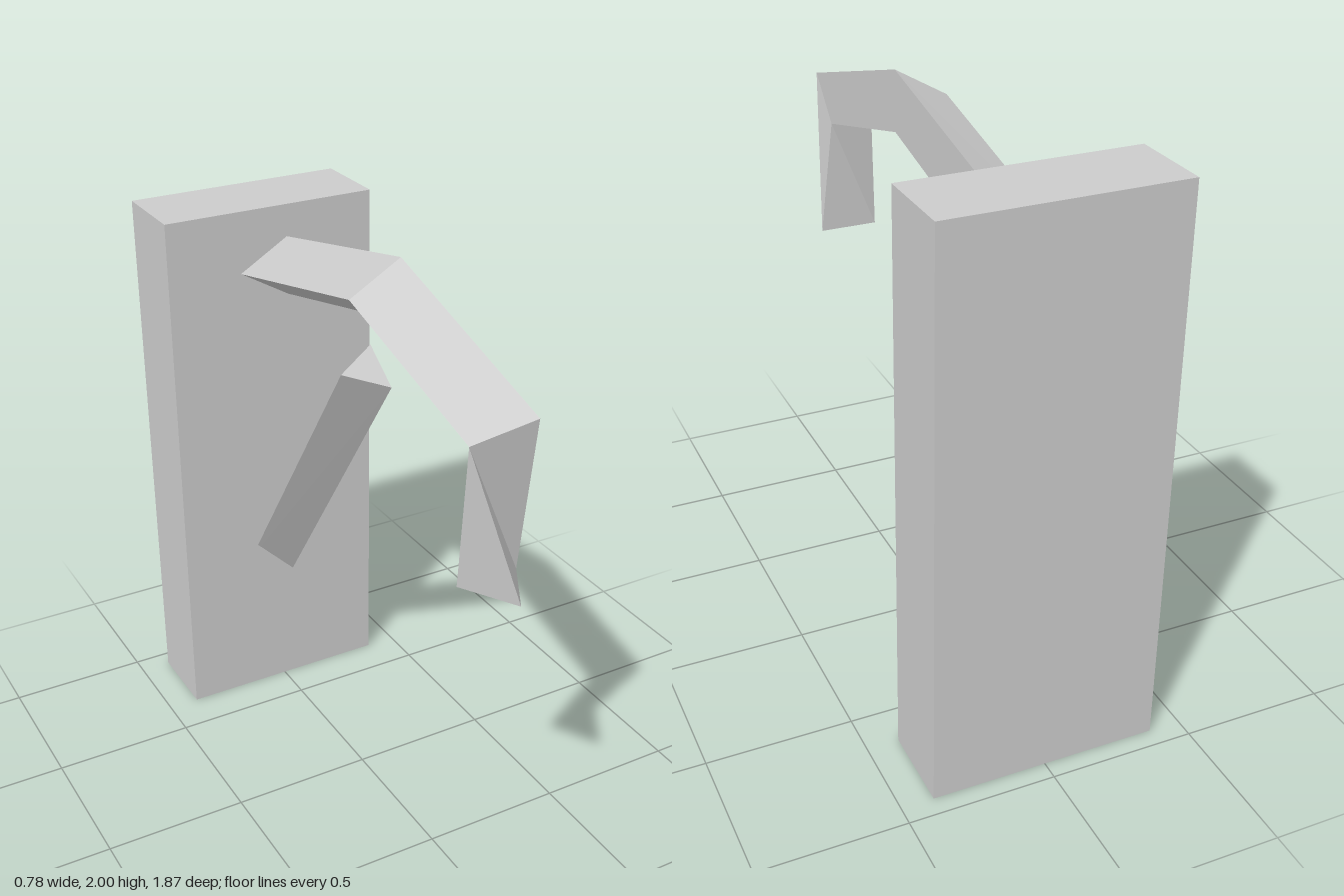
import * as THREE from 'three';

const material = new THREE.MeshStandardMaterial({ color: 0xcccccc, flatShading: true });

// Closed three-sided beam through triangular sections, ordered from the free end to the wall.
function triangularBeam(name, sections) {
  const points = [];
  const tri = (...corners) => corners.forEach((c) => points.push(...c));
  tri(...sections[0]);
  for (let s = 0; s < sections.length - 1; s++) {
    const a = sections[s], b = sections[s + 1];
    for (let i = 0; i < 3; i++) {
      const j = (i + 1) % 3;
      if (i === 0) {
        tri(a[i], b[i], b[j]);
        tri(a[i], b[j], a[j]);
      } else {
        tri(a[i], b[i], a[j]);
        tri(b[i], b[j], a[j]);
      }
    }
  }
  tri(...[...sections[sections.length - 1]].reverse());
  const geometry = new THREE.BufferGeometry();
  geometry.setAttribute('position', new THREE.Float32BufferAttribute(points, 3));
  geometry.computeVertexNormals();
  const mesh = new THREE.Mesh(geometry, material);
  mesh.name = name;
  return mesh;
}

// Section with a flat side on the left (+x) and its third corner on the right.
// Upper and lower corners are given as [y, z].
function section(radius, [y1, z1], [y2, z2]) {
  return [
    [radius / 2, y1, z1],
    [-radius, (y1 + y2) / 2, (z1 + z2) / 2],
    [radius / 2, y2, z2],
  ];
}

export function createModel() {
  const model = new THREE.Group();

  // Upright slab at the back
  const slab = new THREE.Mesh(new THREE.BoxGeometry(0.78, 1.945, 0.29), material);
  slab.name = 'backSlab';
  slab.position.set(0, 0.9725, -0.79);
  model.add(slab);

  // Bent arm with its twisted hanging tip
  model.add(triangularBeam('bentArm', [
    [[0.105, 1.215, 0.755], [0, 1.215, 0.935], [-0.105, 1.215, 0.755]],
    section(0.12, [1.778, 0.886], [1.63, 0.742]),
    section(0.12, [2.0, 0.133], [1.793, 0.133]),
    section(0.12, [1.818, -0.7], [1.606, -0.7]),
  ]));

  // Diagonal strut below the arm
  model.add(triangularBeam('diagonalStrut', [
    section(0.097, [1.655, -0.033], [1.558, 0.105]),
    section(0.097, [0.695, -0.7], [0.403, -0.7]),
  ]));

  return model;
}
